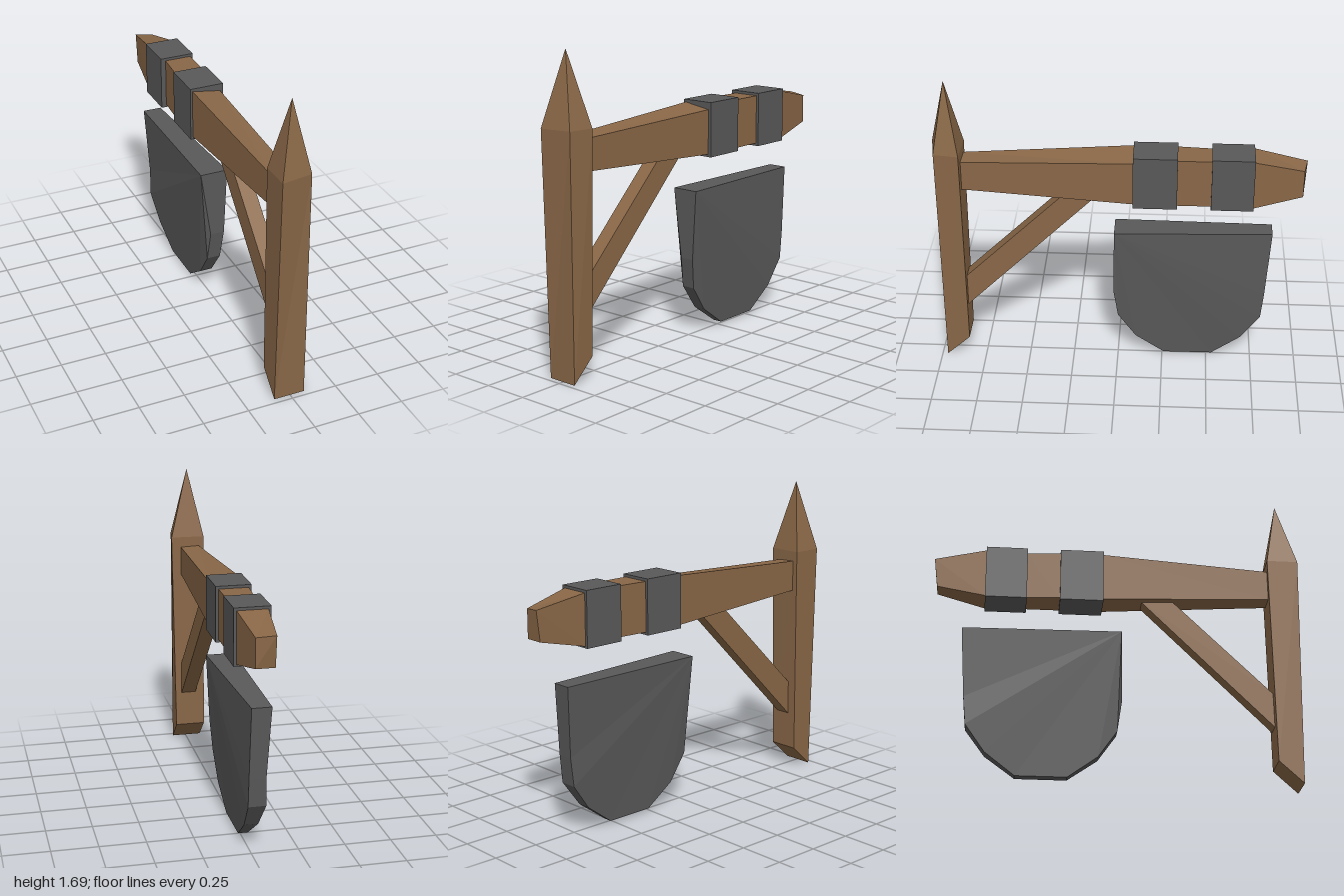
import * as THREE from 'three';

const wood = new THREE.MeshStandardMaterial({ color: 0x896747 });
wood.name = 'wood';
const iron = new THREE.MeshStandardMaterial({ color: 0x595959 });
iron.name = 'iron';

// Faceted solid through matching rings of points, capped at both ends.
// Rings run counter-clockwise as seen from beyond the last ring.
function loft(name, rings, material) {
  const pos = [];
  const tri = (a, b, c) => {
    const t = new THREE.Triangle(...[a, b, c].map((p) => new THREE.Vector3(...p)));
    if (t.getArea() > 1e-7) pos.push(...a, ...b, ...c);
  };
  const n = rings[0].length;
  for (let i = 0; i < rings.length - 1; i++) {
    for (let j = 0; j < n; j++) {
      const k = (j + 1) % n;
      tri(rings[i][j], rings[i][k], rings[i + 1][k]);
      tri(rings[i][j], rings[i + 1][k], rings[i + 1][j]);
    }
  }
  const first = rings[0], last = rings[rings.length - 1];
  for (let j = 1; j < n - 1; j++) {
    tri(first[0], first[j + 1], first[j]);
    tri(last[0], last[j], last[j + 1]);
  }
  const g = new THREE.BufferGeometry();
  g.setAttribute('position', new THREE.Float32BufferAttribute(pos, 3));
  g.computeVertexNormals();
  const mesh = new THREE.Mesh(g, material);
  mesh.name = name;
  return mesh;
}

export function createModel() {
  const model = new THREE.Group();
  model.name = 'hangingSign';

  // Pointed post with a slanted foot
  const tip = [-0.005, 1.69, 0.905];
  model.add(loft('post', [
    [[-0.09, 0.005, 0.97], [0.08, 0.005, 0.97], [0.08, 0.125, 0.84], [-0.09, 0.125, 0.84]],
    [[-0.09, 1.3, 1.0], [0.08, 1.3, 0.97], [0.1, 1.3, 0.835], [-0.09, 1.3, 0.83]],
    [tip, tip, tip, tip],
  ], wood));

  // Tapered beam: z, right x, left x, bottom y, top y on the right, top y on the left
  const beam = [
    [0.84, -0.06, 0.045, 1.075, 1.245, 1.24],
    [-0.08, -0.088, 0.072, 1.025, 1.295, 1.27],
    [-0.32, -0.085, 0.075, 1.025, 1.295, 1.295],
    [-0.5, -0.072, 0.075, 1.025, 1.295, 1.295],
    [-0.72, -0.085, 0.075, 1.02, 1.295, 1.295],
  ].map(([z, x0, x1, y0, yr, yl]) => [[x1, y0, z], [x0, y0, z], [x0, yr, z], [x1, yl, z]]);
  beam.push([[0.045, 1.08, -0.98], [-0.055, 1.08, -0.98], [-0.055, 1.245, -1], [0.045, 1.235, -0.98]]);
  model.add(loft('beam', beam, wood));

  // Diagonal brace between post and beam
  const brace = [[0.84, 0.52], [0.84, 0.33], [0.12, 1.05], [0.3, 1.05]];
  model.add(loft('brace', [-0.038, 0.047].map((x) => brace.map(([z, y]) => [x, y, z])), wood));

  // Iron bands around the beam
  for (const [z0, z1] of [[-0.08, -0.315], [-0.495, -0.72]]) {
    const band = new THREE.Mesh(new THREE.BoxGeometry(0.19, 0.3, z0 - z1), iron);
    band.position.set(-0.005, 1.16, (z0 + z1) / 2);
    band.name = 'ironBand';
    model.add(band);
  }

  // Rounded sign plate, thinner toward the bottom: z, y, right x, left x
  const outline = [
    [0.02, 0.835, -0.085, 0.07],
    [0.025, 0.45, -0.03, 0.05],
    [0.0, 0.28, -0.04, 0.037],
    [-0.1, 0.135, -0.04, 0.03],
    [-0.26, 0.02, -0.035, 0.02],
    [-0.53, 0.02, -0.035, 0.018],
    [-0.69, 0.14, -0.05, 0.025],
    [-0.795, 0.285, -0.065, 0.03],
    [-0.81, 0.44, -0.06, 0.03],
    [-0.835, 0.828, -0.08, 0.025],
  ];
  model.add(loft('signPlate', [2, 3].map((s) => outline.map((p) => [p[s], p[1], p[0]])), iron));

  return model;
}
